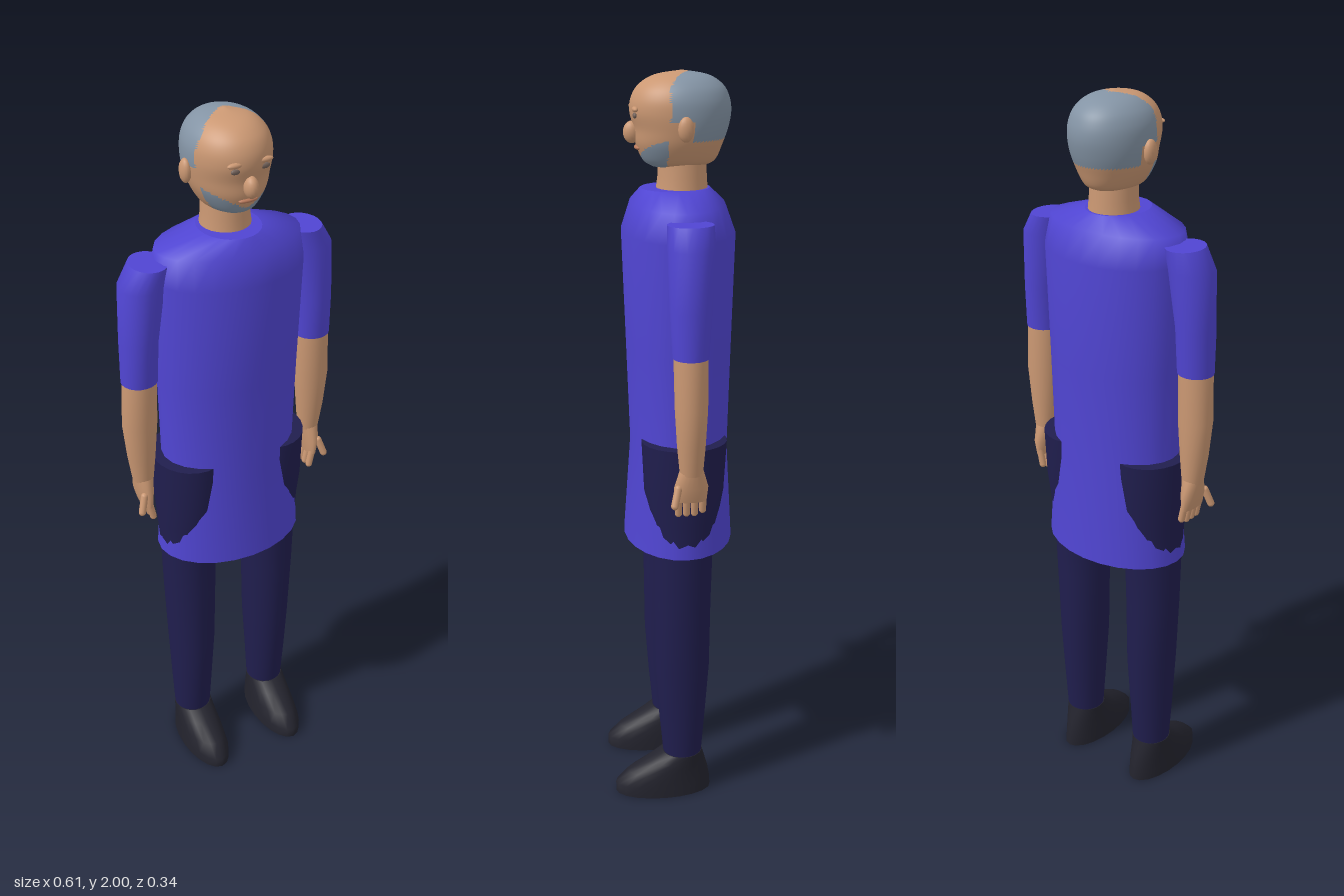
import * as THREE from 'three';

const mat = (name, color, side = THREE.FrontSide) => {
  const m = new THREE.MeshStandardMaterial({ color, side });
  m.name = name;
  return m;
};

// Stack of ellipses, bottom to top. Section: [y, centreX, halfWidth, zFront, zBack]
function loft(sections, segs = 20, capBottom = true, capTop = true) {
  const pos = [], idx = [];
  const ring = ([y, cx, rx, zf, zb]) => {
    const start = pos.length / 3;
    for (let j = 0; j < segs; j++) {
      const a = (j / segs) * Math.PI * 2;
      pos.push(cx + rx * Math.cos(a), y, (zf + zb) / 2 + ((zf - zb) / 2) * Math.sin(a));
    }
    return start;
  };
  const starts = sections.map(ring);
  for (let i = 0; i + 1 < starts.length; i++) {
    for (let j = 0; j < segs; j++) {
      const k = (j + 1) % segs, lo = starts[i], hi = starts[i + 1];
      idx.push(lo + j, hi + j, lo + k, lo + k, hi + j, hi + k);
    }
  }
  const cap = (s, up) => {
    const start = ring(s), c = pos.length / 3;
    pos.push(s[1], s[0], (s[3] + s[4]) / 2);
    for (let j = 0; j < segs; j++) {
      const k = (j + 1) % segs;
      idx.push(c, start + (up ? k : j), start + (up ? j : k));
    }
  };
  if (capBottom) cap(sections[0], false);
  if (capTop) cap(sections[sections.length - 1], true);
  const g = new THREE.BufferGeometry();
  g.setAttribute('position', new THREE.Float32BufferAttribute(pos, 3));
  g.setIndex(idx);
  g.computeVertexNormals();
  return g;
}

// Smooth in-between sections for the head
function refine(sections, count) {
  const curve = (c) => new THREE.CatmullRomCurve3(
    sections.map((s) => new THREE.Vector3(s[2], s[0], s[c])), false, 'catmullrom', 0.5);
  const front = curve(3), back = curve(4);
  return Array.from({ length: count + 1 }, (_, i) => {
    const f = front.getPoint(i / count), b = back.getPoint(i / count);
    return [f.y, 0, Math.max(f.x, 0.001), f.z, b.z];
  });
}

// Sort triangles into material groups by the position of their centre
function paint(g, rule, count) {
  const p = g.attributes.position, idx = g.index.array;
  const lists = Array.from({ length: count }, () => []);
  for (let i = 0; i < idx.length; i += 3) {
    const t = [idx[i], idx[i + 1], idx[i + 2]];
    const mean = (f) => t.reduce((s, v) => s + p[f](v), 0) / 3;
    lists[rule(mean('getX'), mean('getY'), mean('getZ'))].push(...t);
  }
  let start = 0;
  lists.forEach((l, m) => { g.addGroup(start, l.length, m); start += l.length; });
  g.setIndex(lists.flat());
  return g;
}

export function createModel() {
  const model = new THREE.Group();
  model.name = 'standingMan';
  const skin = mat('skin', 0xcb9873);
  const hair = mat('greyHair', 0x8494a5);
  const tunicBlue = mat('tunicBlue', 0x5045d2, THREE.DoubleSide);
  const trouserNavy = mat('trouserNavy', 0x201e4e);
  const shoeBlack = mat('shoeBlack', 0x23232d);
  const eyeGrey = mat('eyeGrey', 0x75645c);
  const lipTone = mat('lips', 0xb97a5c);

  const add = (name, geometry, material, parent = model) => {
    const m = new THREE.Mesh(geometry, material);
    m.name = name;
    parent.add(m);
    return m;
  };
  const blob = (name, material, [x, y, z], [sx, sy, sz], parent) => {
    const m = add(name, new THREE.SphereGeometry(1, 16, 12), material, parent);
    m.position.set(x, y, z);
    m.scale.set(sx, sy, sz);
    return m;
  };

  // Tunic, open at the hem
  add('tunic', loft([
    [0.755, 0, 0.21, 0.125, -0.17],
    [1.02, 0, 0.189, 0.106, -0.155],
    [1.3, 0, 0.195, 0.115, -0.162],
    [1.6, 0, 0.205, 0.125, -0.17],
    [1.675, 0, 0.195, 0.1, -0.142],
    [1.71, 0, 0.08, 0.075, -0.105],
  ], 24, false, true), tunicBlue);

  // Neck and head
  add('neck', loft([
    [1.7, 0, 0.066, 0.035, -0.1],
    [1.74, 0, 0.061, 0.03, -0.097],
    [1.8, 0, 0.06, 0.03, -0.095],
  ], 24), skin);

  const head = new THREE.Group();
  head.name = 'head';
  model.add(head);
  const skull = refine([
    [1.765, 0, 0.045, 0.045, -0.09],
    [1.78, 0, 0.068, 0.067, -0.118],
    [1.82, 0, 0.091, 0.085, -0.136],
    [1.86, 0, 0.102, 0.09, -0.15],
    [1.9, 0, 0.106, 0.1, -0.157],
    [1.935, 0, 0.102, 0.096, -0.152],
    [1.965, 0, 0.086, 0.077, -0.135],
    [1.988, 0, 0.055, 0.038, -0.098],
    [2.0, 0, 0.002, -0.03, -0.034],
  ], 56);
  const isHair = (x, y, z) =>
    z < Math.min(0.008, -0.05 + 0.68 * Math.abs(x)) && y > (z < -0.05 ? 1.835 : 1.885);
  const isBeard = (x, y, z) => z > 0.012 && y < 1.787 + 0.55 * Math.abs(x);
  add('skull', paint(loft(skull, 72),
    (x, y, z) => (isHair(x, y, z) || isBeard(x, y, z) ? 1 : 0), 2), [skin, hair], head);
  blob('nose', skin, [0, 1.85, 0.095], [0.018, 0.028, 0.022], head);
  blob('lips', lipTone, [0, 1.812, 0.08], [0.026, 0.006, 0.009], head);

  for (const s of [1, -1]) {
    const side = s > 0 ? 'left' : 'right';
    blob(side + 'Eye', eyeGrey, [s * 0.039, 1.895, 0.091], [0.013, 0.007, 0.005], head);
    blob(side + 'Brow', skin, [s * 0.039, 1.91, 0.09], [0.022, 0.007, 0.008], head);
    blob(side + 'Ear', skin, [s * 0.109, 1.867, -0.028], [0.014, 0.031, 0.02], head);

    // Trouser leg, its hip bulging through the tunic
    add(side + 'TrouserLeg', loft([
      [0.12, s * 0.126, 0.053, 0.033, -0.075],
      [0.25, s * 0.126, 0.059, 0.045, -0.085],
      [0.4, s * 0.125, 0.066, 0.056, -0.096],
      [0.6, s * 0.127, 0.073, 0.058, -0.098],
      [0.755, s * 0.127, 0.077, 0.06, -0.102],
      [0.85, s * 0.125, 0.085, 0.068, -0.115],
      [0.93, s * 0.122, 0.093, 0.083, -0.13],
      [1.065, s * 0.12, 0.099, 0.089, -0.138],
    ], 24), trouserNavy);

    // Shoe
    add(side + 'Shoe', loft([
      [0, s * 0.125, 0.061, 0.17, -0.102],
      [0.03, s * 0.125, 0.06, 0.17, -0.1],
      [0.065, s * 0.125, 0.058, 0.135, -0.094],
      [0.1, s * 0.126, 0.056, 0.075, -0.084],
      [0.126, s * 0.126, 0.055, 0.036, -0.077],
    ], 20), shoeBlack);

    // Arm
    const arm = new THREE.Group();
    arm.name = side + 'Arm';
    model.add(arm);
    add('sleeve', loft([
      [1.33, s * 0.255, 0.048, 0.025, -0.068],
      [1.45, s * 0.252, 0.05, 0.032, -0.076],
      [1.6, s * 0.238, 0.059, 0.036, -0.085],
      [1.655, s * 0.217, 0.048, 0.034, -0.083],
    ]), tunicBlue, arm);
    add('forearm', loft([
      [1.02, s * 0.256, 0.028, 0.006, -0.054],
      [1.1, s * 0.258, 0.038, 0.014, -0.06],
      [1.2, s * 0.259, 0.047, 0.02, -0.065],
      [1.34, s * 0.255, 0.045, 0.023, -0.065],
    ]), skin, arm);
    add('palm', loft([
      [0.945, s * 0.255, 0.014, 0.02, -0.064],
      [0.985, s * 0.257, 0.023, 0.021, -0.068],
      [1.035, s * 0.256, 0.028, 0.005, -0.054],
    ]), skin, arm);
    for (let i = 0; i < 4; i++) {
      const finger = add('finger', new THREE.CapsuleGeometry(0.0095, 0.045, 4, 10), skin, arm);
      finger.position.set(s * 0.25, 0.93 + (i === 3 ? 0.008 : 0), 0.008 - i * 0.021);
      finger.rotation.z = -s * 0.2;
    }
    const thumb = add('thumb', new THREE.CapsuleGeometry(0.01, 0.045, 4, 10), skin, arm);
    thumb.position.set(s * 0.277, 0.965, 0.017);
    thumb.rotation.set(-0.25, 0, s * 0.3);
  }
  return model;
}
